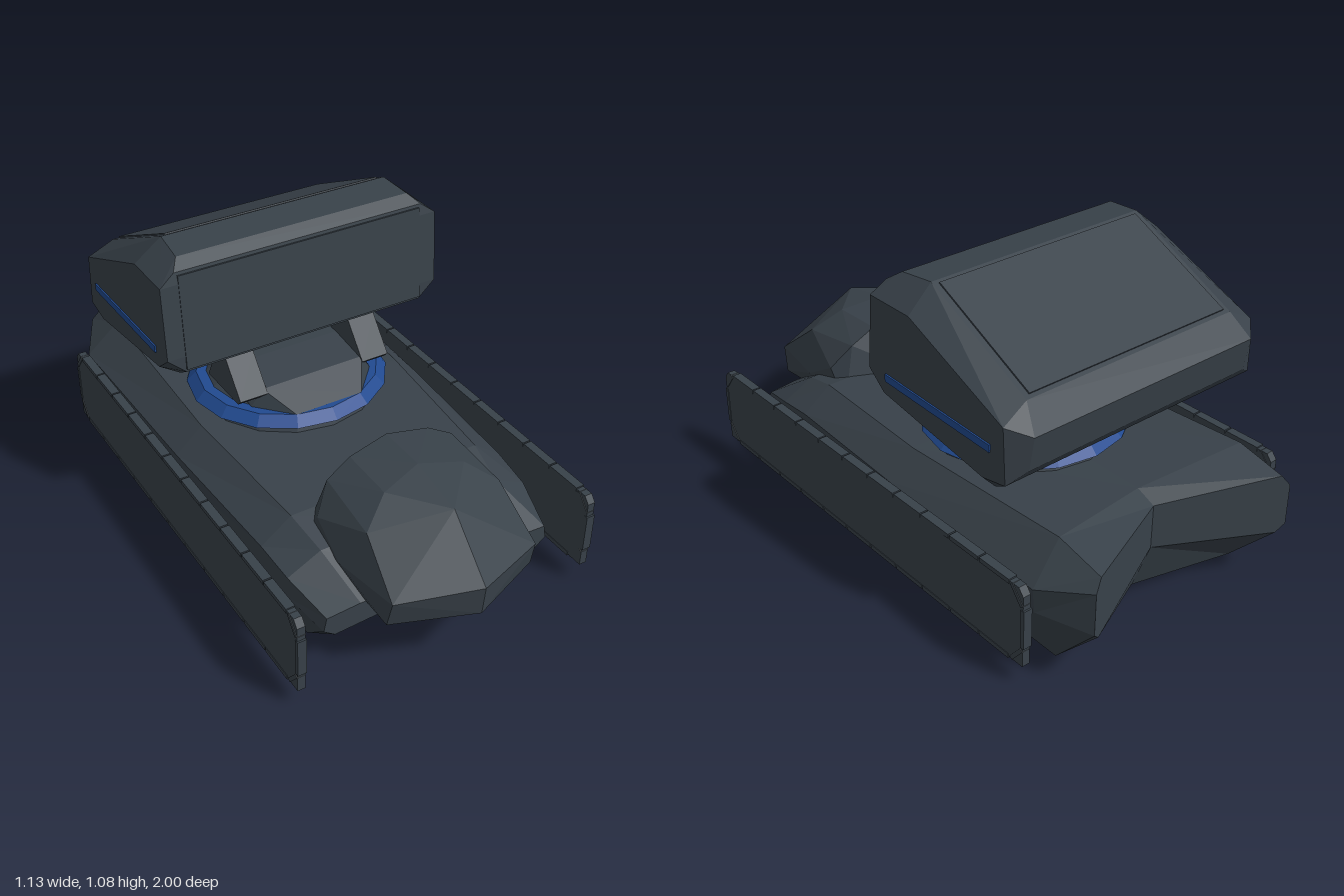
import * as THREE from 'three';
import { ConvexGeometry } from 'three/addons/geometries/ConvexGeometry.js';

export function createModel() {
  const model = new THREE.Group();
  model.name = 'launcherVehicle';
  const armour = new THREE.MeshStandardMaterial({ color: 0x384149, flatShading: true });
  armour.name = 'dark armour grey';
  const blue = new THREE.MeshStandardMaterial({ color: 0x214a90, flatShading: true });
  blue.name = 'blue trim';

  function add(name, geometry, material = armour, parent = model) {
    const mesh = new THREE.Mesh(geometry, material);
    mesh.name = name;
    parent.add(mesh);
    return mesh;
  }
  function box(name, w, h, d, x, y, z, material, parent) {
    const mesh = add(name, new THREE.BoxGeometry(w, h, d), material, parent);
    mesh.position.set(x, y, z);
    return mesh;
  }
  // Faceted solid from one half of its corners, mirrored across x
  function mirroredSolid(half) {
    const points = [];
    for (const [x, y, z] of half) {
      points.push(new THREE.Vector3(x, y, z));
      if (x > 0) points.push(new THREE.Vector3(-x, y, z));
    }
    return new ConvexGeometry(points);
  }
  // Side profile of [z, y] points, extruded across x about the centre
  function sideProfile(points, width) {
    const shape = new THREE.Shape(points.map(([z, y]) => new THREE.Vector2(z, y)));
    const g = new THREE.ExtrudeGeometry(shape, { depth: width, bevelEnabled: false });
    return g.translate(0, 0, -width / 2).rotateY(-Math.PI / 2);
  }

  // Hull sections, back to front: z at the centre, z at the edge, half outline
  const stations = [
    { zc: -0.81, ze: -1.0, pts: [[0, 0.39], [0.4, 0.42], [0.43, 0.38], [0.43, 0.23], [0.4, 0.2], [0, 0.23]] },
    { zc: -0.74, ze: -0.83, pts: [[0, 0.42], [0.4, 0.46], [0.52, 0.34], [0.51, 0.25], [0.4, 0.01], [0, 0.04]] },
    { zc: -0.1, ze: -0.1, pts: [[0, 0.42], [0.4, 0.42], [0.5, 0.33], [0.49, 0.24], [0.41, 0.025], [0, 0.03]] },
    { zc: 0.45, ze: 0.45, pts: [[0, 0.4], [0.36, 0.4], [0.47, 0.32], [0.47, 0.23], [0.4, 0.025], [0, 0.035]] },
    { zc: 0.6, ze: 0.6, pts: [[0, 0.36], [0.34, 0.36], [0.46, 0.3], [0.46, 0.22], [0.39, 0.03], [0, 0.04]] },
    { zc: 0.78, ze: 0.77, pts: [[0, 0.25], [0.3, 0.26], [0.42, 0.25], [0.43, 0.2], [0.39, 0.17], [0, 0.2]] },
  ];
  const rings = stations.map(({ zc, ze, pts }) => {
    const edge = Math.max(...pts.map((p) => p[0]));
    const right = pts.map(([x, y]) => [x, y, zc + (ze - zc) * (x / edge)]);
    const left = right.slice(1, -1).reverse().map(([x, y, z]) => [-x, y, z]);
    return [...right, ...left];
  });
  const tri = [];
  const n = rings[0].length, last = rings.length - 1;
  for (let j = 0; j < n; j++) {
    const k = (j + 1) % n;
    for (let i = 0; i < last; i++) {
      const a = rings[i][j], b = rings[i][k], c = rings[i + 1][k], d = rings[i + 1][j];
      tri.push(...a, ...d, ...c, ...a, ...c, ...b);
    }
    tri.push(0, 0.31, stations[0].zc, ...rings[0][j], ...rings[0][k]);
    tri.push(0, 0.225, stations[last].zc, ...rings[last][k], ...rings[last][j]);
  }
  const hull = new THREE.BufferGeometry();
  hull.setAttribute('position', new THREE.Float32BufferAttribute(tri, 3));
  hull.computeVertexNormals();
  add('hull', hull);

  // Faceted nose cab
  add('cab', mirroredSolid([
    [0, 0.36, 1.0], [0, 0.25, 0.99], [0.27, 0.34, 0.9], [0.275, 0.245, 0.88], [0, 0.22, 0.84],
    [0.31, 0.34, 0.66], [0.305, 0.42, 0.52], [0.25, 0.48, 0.72], [0.24, 0.51, 0.47],
    [0.3, 0.3, 0.44], [0.1, 0.42, 0.37], [0.15, 0.56, 0.46], [0.15, 0.555, 0.66],
    [0, 0.58, 0.44], [0, 0.58, 0.62], [0, 0.54, 0.82],
  ]));
  for (const s of [-1, 1]) {
    // Side skirt with edge plates
    const skirt = new THREE.Group();
    skirt.name = s > 0 ? 'leftSkirt' : 'rightSkirt';
    skirt.position.x = s * 0.55;
    model.add(skirt);
    add('skirtPanel', sideProfile([
      [-0.84, 0.08], [0.84, 0.08], [0.84, 0.34], [0.82, 0.365], [-0.82, 0.365], [-0.84, 0.34],
    ], 0.028), armour, skirt);
    for (let i = 0; i < 11; i++) {
      const z = (i - 5) * 0.142;
      box('topPlate', 0.032, 0.016, 0.136, 0, 0.362, z, armour, skirt);
      box('bottomPlate', 0.032, 0.016, 0.136, 0, 0.082, z, armour, skirt);
    }
    for (const e of [-1, 1]) {
      box('endPlate', 0.032, 0.14, 0.016, 0, 0.22, e * 0.838, armour, skirt);
      for (const v of [-1, 1]) {
        const corner = box('cornerPlate', 0.032, 0.014, 0.075, 0, 0.222 + v * 0.11, e * 0.812, armour, skirt);
        corner.rotation.x = e * v * 0.9;
      }
    }

    // Launcher support arm
    add('supportArm', sideProfile([
      [0.0, 0.54], [-0.1, 0.66], [-0.1, 0.72], [-0.24, 0.68], [-0.19, 0.62], [-0.24, 0.52], [-0.02, 0.52],
    ], 0.105)).position.x = s * 0.243;
  }

  // Turntable
  const turntable = new THREE.Group();
  turntable.name = 'turntable';
  turntable.position.set(0, 0, -0.205);
  turntable.scale.x = 1.05;
  model.add(turntable);
  add('turntableRing', new THREE.CylinderGeometry(0.315, 0.348, 0.036, 16), blue, turntable).position.y = 0.464;
  add('turntableBase', new THREE.CylinderGeometry(0.31, 0.33, 0.05, 16), armour, turntable).position.y = 0.425;
  add('turntableDisc', new THREE.CylinderGeometry(0.25, 0.285, 0.03, 16), armour, turntable).position.y = 0.493;
  // Wedge-fronted block between the arms
  add('pedestal', mirroredSolid([
    [0.13, 0.485, 0.09], [0.24, 0.485, -0.03], [0.2, 0.55, -0.02], [0.24, 0.57, -0.18],
    [0.24, 0.57, -0.345], [0.24, 0.485, -0.345],
  ]));

  // Tilted launcher box
  add('launcherBox', mirroredSolid([
    [0.46, 0.69, -0.057], [0.525, 0.75, -0.057], [0.525, 1.01, -0.078], [0.47, 1.05, -0.088],
    [0.43, 1.09, -0.26], [0.44, 1.08, -0.13], [0.525, 1.01, -0.27],
    [0.43, 0.88, -0.69], [0.525, 0.83, -0.7], [0.46, 0.8, -0.76], [0.46, 0.68, -0.74],
    [0.525, 0.64, -0.71], [0.46, 0.55, -0.59], [0.45, 0.64, -0.13], [0.525, 0.69, -0.13],
    [0.525, 0.62, -0.61],
  ]));
  box('frontCover', 0.92, 0.34, 0.008, 0, 0.87, -0.068).rotation.x = -0.085;
  box('topCover', 0.82, 0.009, 0.45, 0, 0.986, -0.475).rotation.x = -0.454;
  for (const s of [-1, 1]) {
    box('sideStripe', 0.009, 0.026, 0.5, s * 0.526, 0.744, -0.395, blue).rotation.x = -0.03;
  }
  return model;
}
